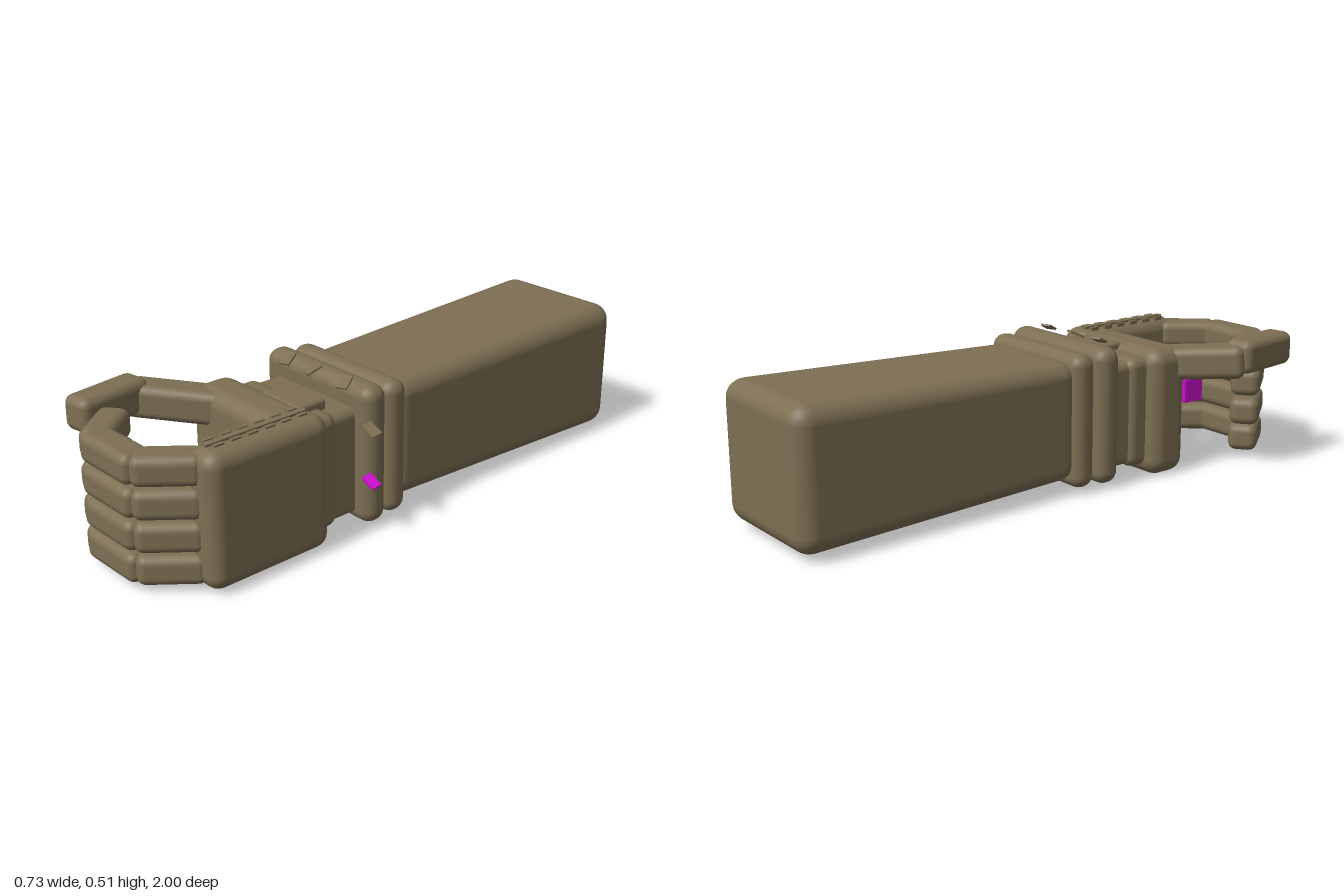
import * as THREE from 'three';
import { RoundedBoxGeometry } from 'three/addons/geometries/RoundedBoxGeometry.js';

export function createModel() {
  const model = new THREE.Group();
  model.name = 'grippingGlove';
  const leather = new THREE.MeshStandardMaterial({ color: 0x7d6f53 });
  leather.name = 'olive leather';
  const magenta = new THREE.MeshStandardMaterial({ color: 0xcc0ccc });
  magenta.name = 'magenta';

  const add = (name, geometry, material = leather, parent = model) => {
    const mesh = new THREE.Mesh(geometry, material);
    mesh.name = name;
    parent.add(mesh);
    return mesh;
  };

  // Rounded block given by its limits on each axis
  const block = (name, x, y, z, radius) => {
    const g = new RoundedBoxGeometry(x[1] - x[0], y[1] - y[0], z[1] - z[0], 3, radius);
    const mesh = add(name, g);
    mesh.position.set((x[0] + x[1]) / 2, (y[0] + y[1]) / 2, (z[0] + z[1]) / 2);
    return mesh;
  };

  // Rounded bar running between two points, for finger bones
  const bar = (name, a, b, width, height, parent) => {
    const from = new THREE.Vector3(...a), to = new THREE.Vector3(...b);
    const g = new RoundedBoxGeometry(width, height, from.distanceTo(to), 3, 0.03);
    const mesh = add(name, g, leather);
    mesh.position.copy(from).lerp(to, 0.5);
    mesh.lookAt(to);
    parent.add(mesh);
  };

  // Forearm, narrowing towards the wrist
  const arm = block('forearm', [-0.18, 0.312], [0.02, 0.49], [-1, 0.08], 0.065);
  const p = arm.geometry.attributes.position;
  for (let i = 0; i < p.count; i++) {
    const t = (p.getZ(i) + 0.54) / 1.08;
    p.setX(i, p.getX(i) * (1 - 0.11 * t));
    p.setY(i, p.getY(i) * (1 - 0.13 * t));
  }

  // Cuff rolls and wrist
  block('cuffRollBack', [-0.178, 0.31], [0.022, 0.485], [0.042, 0.132], 0.042);
  block('cuffRollFront', [-0.19, 0.32], [0.02, 0.497], [0.138, 0.232], 0.044);
  block('wrist', [-0.13, 0.26], [0.05, 0.42], [0.18, 0.36], 0.03);
  block('wristBand', [-0.145, 0.27], [0.04, 0.43], [0.308, 0.41], 0.035);
  block('wristClasp', [0.015, 0.197], [0.405, 0.455], [0.295, 0.412], 0.012);

  // Palm heel and back of the hand
  block('palmHeel', [-0.19, 0.27], [0.002, 0.458], [0.38, 0.543], 0.055);
  block('handBack', [0.187, 0.322], [0.013, 0.464], [0.38, 0.842], 0.05);

  // Four curled fingers, three bones each
  const tips = [[-0.215, 0.8], [-0.235, 0.78], [-0.235, 0.78], [-0.208, 0.805]];
  [0.4, 0.292, 0.184, 0.076].forEach((y, i) => {
    const finger = new THREE.Group();
    finger.name = 'finger' + (i + 1);
    model.add(finger);
    bar('fingerBase', [0.232, y, 0.795], [0.095, y, 0.96], 0.11, 0.1, finger);
    bar('fingerMiddle', [0.125, y, 0.945], [-0.125, y, 0.945], 0.11, 0.1, finger);
    bar('fingerTip', [-0.09, y, 0.965], [tips[i][0], y, tips[i][1]], 0.105, 0.098, finger);
  });

  // Thumb
  const thumb = new THREE.Group();
  thumb.name = 'thumb';
  model.add(thumb);
  bar('thumbBase', [-0.08, 0.39, 0.47], [-0.325, 0.41, 0.68], 0.115, 0.115, thumb);
  bar('thumbTip', [-0.312, 0.424, 0.645], [-0.275, 0.424, 0.915], 0.11, 0.118, thumb);

  // Seam strip with a row of stitches on each side
  add('seamStrip', new THREE.BoxGeometry(0.022, 0.012, 0.38))
    .position.set(0.238, 0.465, 0.61);
  for (const x of [0.212, 0.261]) {
    for (let i = 0; i < 6; i++) {
      add('stitch', new THREE.BoxGeometry(0.013, 0.014, 0.035))
        .position.set(x, 0.463, 0.45 + i * 0.063);
    }
  }

  // Loose tabs above the cuff
  for (const [x, yaw] of [[-0.058, 0.35], [0.066, -0.3], [0.217, 0.42]]) {
    const tab = add('topTab', new THREE.BoxGeometry(0.036, 0.007, 0.055));
    tab.position.set(x, 0.498, 0.238);
    tab.rotation.set(0.42, yaw, 0, 'YXZ');
  }
  // Loose tabs beside the cuff
  for (const [y, material] of [[0.378, leather], [0.2, magenta]]) {
    const tab = add('sideTab', new THREE.BoxGeometry(0.055, 0.006, 0.038), material);
    tab.position.set(0.342, y, 0.237);
    tab.rotation.set(0.15, 0, -0.46);
  }

  // Small cube held in the grip
  add('gripCube', new THREE.BoxGeometry(0.085, 0.085, 0.085), magenta)
    .position.set(0, 0.24, 0.717);

  return model;
}
